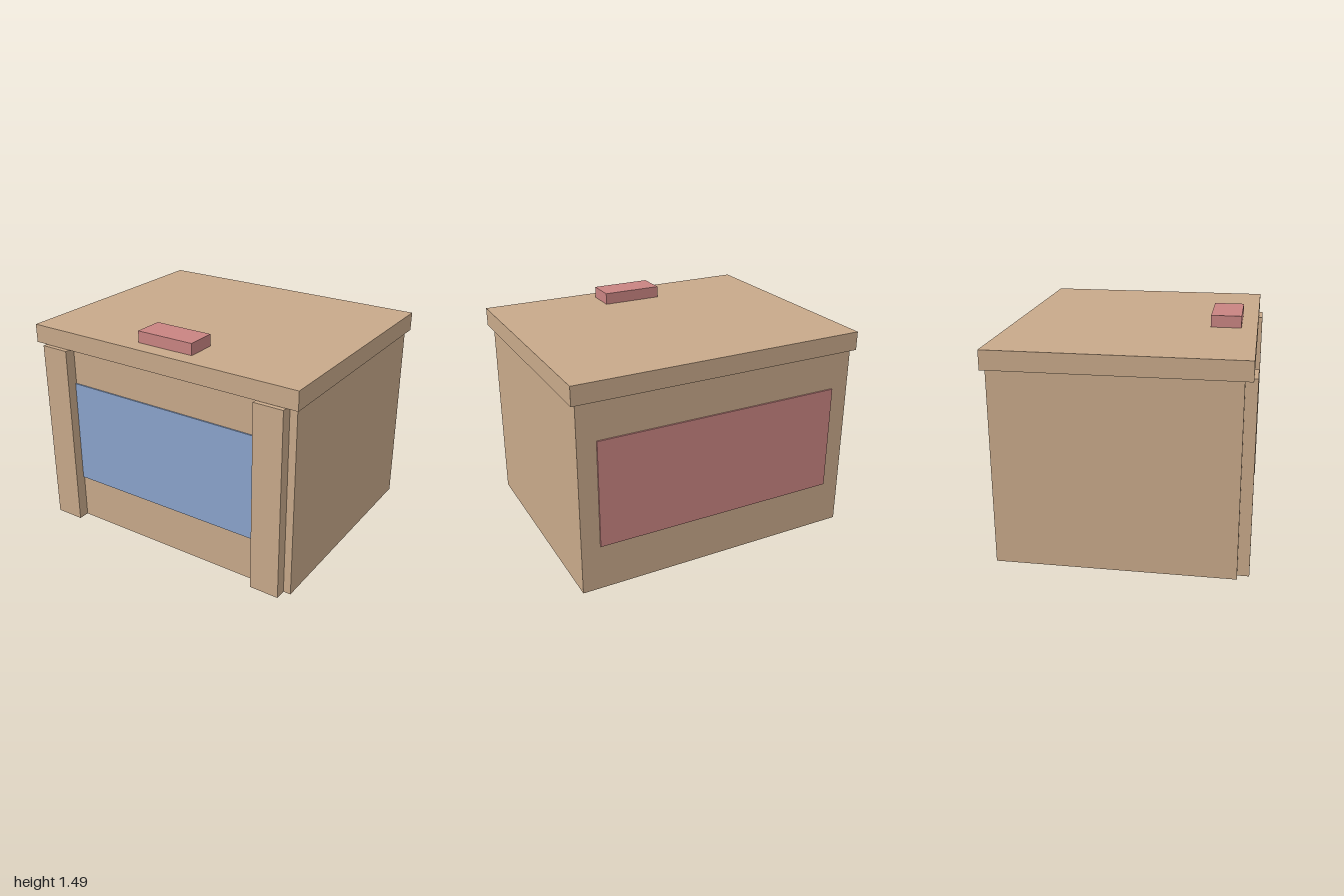
import * as THREE from 'three';

const mat = (name, color) => {
  const m = new THREE.MeshStandardMaterial({ color });
  m.name = name;
  return m;
};

export function createModel() {
  const wood = mat('tan wood', 0xc8a98a);
  const red = mat('dusty red', 0xc98482);
  const blue = mat('soft blue', 0x8aa3cb);
  const group = new THREE.Group();
  group.name = 'chest';

  // Box given by its extents on each axis
  const box = (name, material, [x0, x1], [y0, y1], [z0, z1]) => {
    const mesh = new THREE.Mesh(new THREE.BoxGeometry(x1 - x0, y1 - y0, z1 - z0), material);
    mesh.position.set((x0 + x1) / 2, (y0 + y1) / 2, (z0 + z1) / 2);
    mesh.name = name;
    group.add(mesh);
  };

  // Main box and overhanging lid
  box('body', wood, [-0.97, 0.97], [0, 1.285], [-0.795, 0.745]);
  box('lid', wood, [-1, 1], [1.285, 1.41], [-0.82, 0.795]);

  // Front posts
  box('leftPost', wood, [0.72, 0.92], [0, 1.282], [0.745, 0.82]);
  box('rightPost', wood, [-0.92, -0.72], [0, 1.282], [0.745, 0.82]);

  // Thin coloured panels
  box('frontPanel', blue, [-0.72, 0.72], [0.31, 1.03], [0.745, 0.754]);
  box('backPanel', red, [-0.845, 0.845], [0.31, 1.03], [-0.805, -0.795]);

  // Block on the lid
  box('handle', red, [-0.205, 0.205], [1.41, 1.488], [0.49, 0.69]);

  return group;
}
